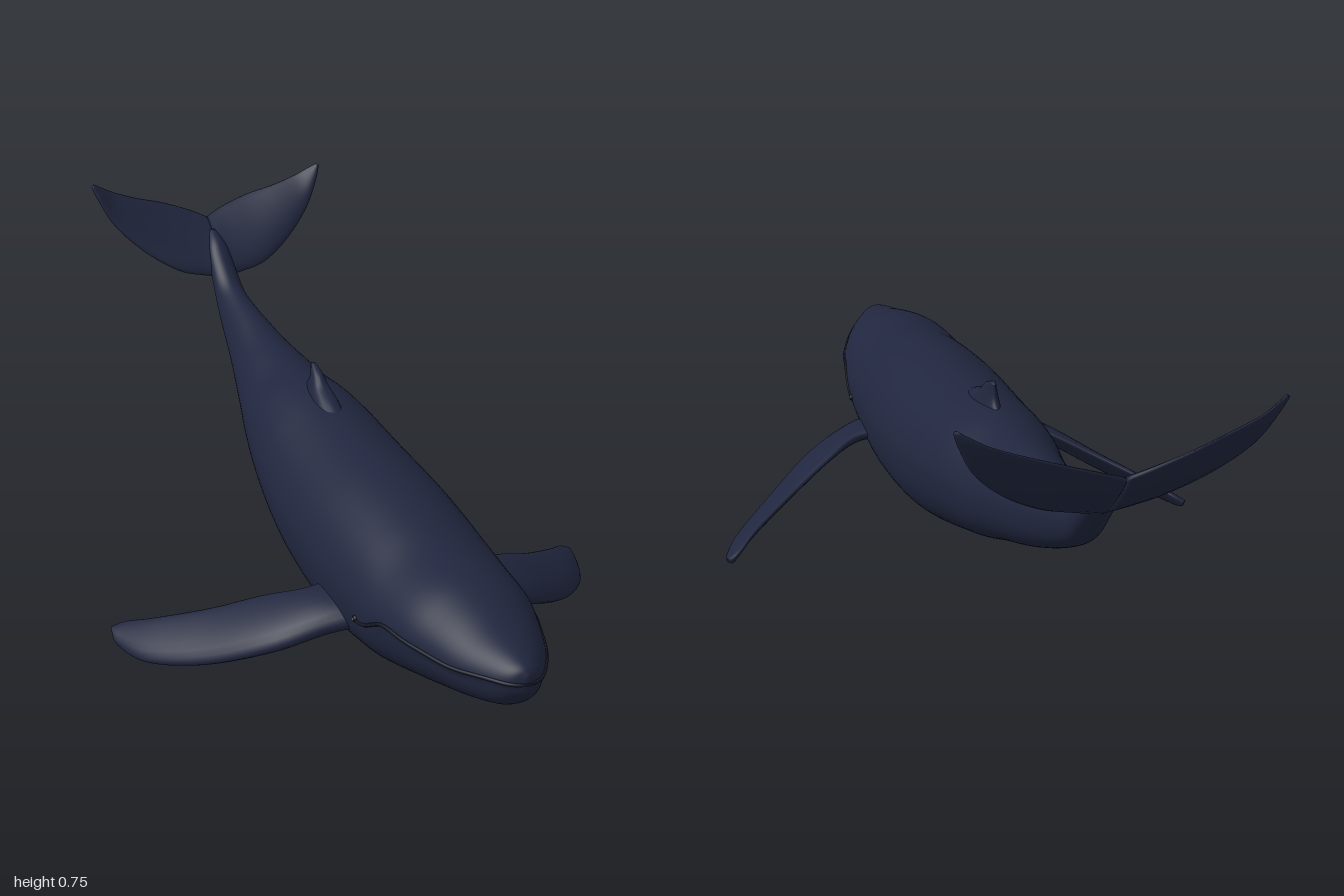
import * as THREE from 'three';

const V = (x, y, z) => new THREE.Vector3(x, y, z);
const curve = (pts) => new THREE.CatmullRomCurve3(pts.map((p) => V(...p)), false, 'catmullrom', 0.5);

// Skin a list of equal-length closed rings, cap both ends, and face it outward.
function loft(rings) {
  const n = rings[0].length, pos = [], idx = [];
  rings.forEach((r) => r.forEach((p) => pos.push(p.x, p.y, p.z)));
  for (let i = 0; i < rings.length - 1; i++) {
    for (let j = 0; j < n; j++) {
      const k = (j + 1) % n, a = i * n + j, b = i * n + k, c = a + n, d = b + n;
      idx.push(a, b, c, b, d, c);
    }
  }
  [0, rings.length - 1].forEach((i) => {
    const c = rings[i].reduce((s, p) => s.add(p), V(0, 0, 0)).divideScalar(n);
    const ci = pos.length / 3;
    pos.push(c.x, c.y, c.z);
    for (let j = 0; j < n; j++) {
      const a = i * n + j, b = i * n + ((j + 1) % n);
      if (i === 0) idx.push(ci, b, a); else idx.push(ci, a, b);
    }
  });
  const at = (i) => V(pos[3 * i], pos[3 * i + 1], pos[3 * i + 2]);
  let volume = 0;
  for (let i = 0; i < idx.length; i += 3) volume += at(idx[i]).dot(at(idx[i + 1]).cross(at(idx[i + 2])));
  if (volume < 0) for (let i = 0; i < idx.length; i += 3) [idx[i], idx[i + 1]] = [idx[i + 1], idx[i]];
  const g = new THREE.BufferGeometry();
  g.setAttribute('position', new THREE.Float32BufferAttribute(pos, 3));
  g.setIndex(idx);
  g.computeVertexNormals();
  return g;
}

// Blade between a leading and a trailing edge, thinning from root to tip.
function blade(lead, trail, rootThick, tipThick, side = 1) {
  const L = curve(lead), T = curve(trail), rings = [], steps = 32, n = 20;
  for (let i = 0; i <= steps; i++) {
    const t = i / steps, a = L.getPoint(t), b = T.getPoint(t);
    const mid = a.clone().add(b).multiplyScalar(0.5), half = a.clone().sub(mid);
    const span = L.getTangent(t).add(T.getTangent(t));
    const nor = half.clone().cross(span).normalize()
      .multiplyScalar(THREE.MathUtils.lerp(rootThick, tipThick, t));
    const ring = [];
    for (let j = 0; j < n; j++) {
      const u = (j / n) * Math.PI * 2;
      // thicker toward the leading edge
      const p = mid.clone().addScaledVector(half, Math.cos(u))
        .addScaledVector(nor, Math.sin(u) * (1 + 0.35 * Math.cos(u)));
      p.x *= side;
      ring.push(p);
    }
    rings.push(ring);
  }
  return loft(rings);
}

// Body stations from snout to tail: z, top, bottom, half width
const STATIONS = [
  [1.0, 0.285, 0.25, 0.008], [0.985, 0.3, 0.232, 0.035], [0.95, 0.312, 0.2, 0.062],
  [0.88, 0.328, 0.175, 0.098], [0.8, 0.35, 0.152, 0.126], [0.72, 0.366, 0.13, 0.148],
  [0.6, 0.372, 0.1, 0.165], [0.5, 0.39, 0.077, 0.171], [0.4, 0.405, 0.063, 0.176],
  [0.3, 0.415, 0.063, 0.179], [0.2, 0.42, 0.072, 0.179], [0.1, 0.426, 0.083, 0.175],
  [0, 0.435, 0.102, 0.168], [-0.1, 0.446, 0.13, 0.158], [-0.2, 0.451, 0.162, 0.144],
  [-0.3, 0.447, 0.195, 0.125], [-0.4, 0.455, 0.235, 0.104], [-0.5, 0.464, 0.272, 0.083],
  [-0.6, 0.48, 0.315, 0.064], [-0.7, 0.496, 0.365, 0.049], [-0.77, 0.515, 0.41, 0.04],
  [-0.83, 0.555, 0.475, 0.034], [-0.88, 0.595, 0.53, 0.028], [-0.93, 0.615, 0.575, 0.016],
];
const heights = curve(STATIONS.map(([z, t, b]) => [z, t, b]));
const widths = curve(STATIONS.map(([, , , w]) => [w, 0, 0]));
const section = (t) => {
  const h = heights.getPoint(t);
  return { z: h.x, top: h.y, bot: h.z, w: widths.getPoint(t).x, mid: (h.y + h.z) / 2 };
};

// Mouth line height along the head
const mouthY = (z) => 0.256 + 0.012 * THREE.MathUtils.smoothstep(z, 0.85, 0.98)
  - 0.045 * (1 - THREE.MathUtils.smoothstep(z, 0.56, 0.68));

function bodyPoint(s, u) {
  const c = Math.cos(u), sn = Math.sin(u), e = sn > 0 ? 2 / 1.85 : 2 / 2.25;
  const y = s.mid + Math.sign(sn) * Math.pow(Math.abs(sn), e) * (s.top - s.bot) / 2;
  let x = Math.sign(c) * Math.pow(Math.abs(c), e) * s.w;
  // lower jaw sits slightly inside the upper lip
  const jaw = THREE.MathUtils.smoothstep(s.z, 0.56, 0.75);
  x *= 1 - 0.09 * jaw * (1 - THREE.MathUtils.smoothstep(y, mouthY(s.z) - 0.012, mouthY(s.z)));
  return V(x, y, s.z);
}

function bodyGeometry() {
  const rings = [], steps = (STATIONS.length - 1) * 5, n = 72;
  for (let i = 0; i <= steps; i++) {
    const s = section(i / steps);
    rings.push(Array.from({ length: n }, (_, j) => bodyPoint(s, (j / n) * Math.PI * 2)));
  }
  return loft(rings);
}

// Point on the left flank at a given height, found by bisection round the section
function flank(t, y) {
  const s = section(t);
  let lo = -Math.PI / 2, hi = Math.PI / 2;
  for (let i = 0; i < 30; i++) {
    const m = (lo + hi) / 2;
    if (bodyPoint(s, m).y < y) lo = m; else hi = m;
  }
  return bodyPoint(s, lo);
}

export function createModel() {
  const whale = new THREE.Group();
  whale.name = 'whale';
  const skin = new THREE.MeshStandardMaterial({ color: 0x20263e });
  const dark = new THREE.MeshStandardMaterial({ color: 0x141826 });
  const pale = new THREE.MeshStandardMaterial({ color: 0x8a8a88 });
  const add = (name, geo, mat = skin) => {
    const m = new THREE.Mesh(geo, mat);
    m.name = name;
    whale.add(m);
    return m;
  };

  add('body', bodyGeometry());

  // Lip line running round the snout
  const lip = [];
  for (let i = 0; i <= 24; i++) {
    const t = 0.275 * (1 - i / 24) + 0.012;
    lip.push(flank(t, mouthY(section(t).z)));
  }
  const mirrored = lip.slice().reverse().map((p) => V(-p.x, p.y, p.z));
  add('mouthLine', new THREE.TubeGeometry(new THREE.CatmullRomCurve3([...lip, ...mirrored]), 120, 0.004, 8), dark);

  for (const [side, label] of [[1, 'left'], [-1, 'right']]) {
    // Eye behind the corner of the mouth
    const e = flank(6.5 / (STATIONS.length - 1), 0.213);
    const eye = add(label + 'Eye', new THREE.SphereGeometry(0.008, 14, 10), dark);
    eye.position.set((e.x - 0.001) * side, e.y, e.z);
    const glint = add(label + 'EyeGlint', new THREE.SphereGeometry(0.003, 8, 6), pale);
    glint.position.set((e.x + 0.006) * side, e.y, e.z);

    // Long swept pectoral flipper, leading edge turned down
    add(label + 'Flipper', blade(
      [[0.12, 0.17, 0.5], [0.2, 0.15, 0.475], [0.31, 0.105, 0.435], [0.43, 0.045, 0.335],
        [0.525, 0.012, 0.225], [0.565, 0.012, 0.13], [0.567, 0.025, 0.092]],
      [[0.12, 0.2, 0.33], [0.2, 0.192, 0.345], [0.28, 0.165, 0.295], [0.38, 0.12, 0.23],
        [0.485, 0.075, 0.147], [0.535, 0.05, 0.095], [0.56, 0.035, 0.078]],
      0.026, 0.008, side));

    // Tail fluke half, swept up and back to the tip
    add(label + 'Fluke', blade(
      [[0, 0.51, -0.835], [0.05, 0.517, -0.84], [0.12, 0.535, -0.85], [0.2, 0.585, -0.885],
        [0.265, 0.65, -0.922], [0.3, 0.715, -0.945], [0.314, 0.752, -0.96]],
      [[0, 0.635, -0.98], [0.05, 0.657, -0.993], [0.12, 0.682, -0.996], [0.19, 0.703, -0.985],
        [0.25, 0.725, -0.98], [0.285, 0.743, -0.974], [0.307, 0.755, -0.967]],
      0.02, 0.004, side));
  }

  // Small hooked dorsal fin: sections stacked upward from the back
  add('dorsalFin', blade(
    [[0, 0.425, 0.02], [0, 0.448, -0.03], [0, 0.468, -0.08], [0, 0.49, -0.11], [0, 0.505, -0.145]],
    [[0, 0.425, -0.22], [0, 0.446, -0.19], [0, 0.464, -0.17], [0, 0.486, -0.163], [0, 0.502, -0.165]],
    0.03, 0.005));

  return whale;
}
